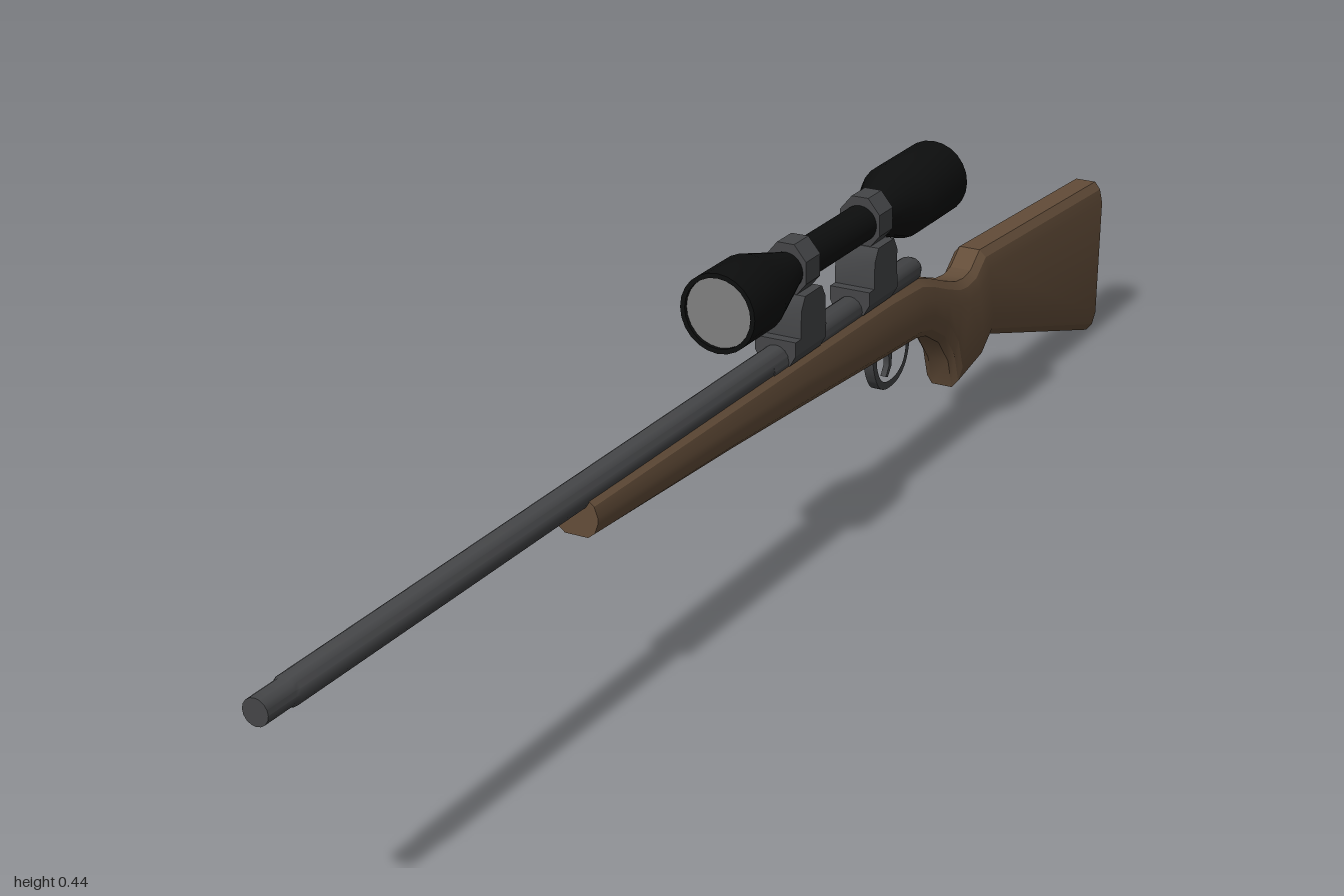
import * as THREE from 'three';
import { toCreasedNormals } from 'three/addons/utils/BufferGeometryUtils.js';

const material = (name, color) => {
  const m = new THREE.MeshStandardMaterial({ color });
  m.name = name;
  return m;
};

// Solid of revolution along z at height y; profile is [radius, z] from back to front
function turned(profile, y, sides = 20) {
  const pts = profile.map(([r, z]) => new THREE.Vector2(r, z));
  return toCreasedNormals(new THREE.LatheGeometry(pts, sides).rotateX(Math.PI / 2).translate(0, y, 0), 0.6);
}

// Side profile of [z, y] points extruded across x, with an optional hole
function plate(points, width, hole) {
  const toV = (list) => list.map(([z, y]) => new THREE.Vector2(z, y));
  const shape = new THREE.Shape(toV(points));
  if (hole) shape.holes.push(new THREE.Path(toV(hole)));
  const g = new THREE.ExtrudeGeometry(shape, { depth: width, bevelEnabled: false });
  return toCreasedNormals(g.translate(0, 0, -width / 2).rotateY(-Math.PI / 2), 0.6);
}

// Smooth closed loop through [z, y] points
const loop = (points, n = 32) =>
  new THREE.CatmullRomCurve3(points.map(([z, y]) => new THREE.Vector3(z, y, 0)), true)
    .getPoints(n).slice(0, n).map((p) => [p.x, p.y]);

// Stock lofted through rounded sections, each spanning a top and a bottom point
function stockGeometry() {
  // topZ, topY, bottomZ, bottomY
  const stations = [
    [0.425, 0.281, 0.425, 0.235], [0.1, 0.281, 0.1, 0.22], [-0.07, 0.281, -0.07, 0.21],
    [-0.31, 0.279, -0.31, 0.195], [-0.4, 0.274, -0.4, 0.19], [-0.435, 0.263, -0.43, 0.183],
    [-0.48, 0.245, -0.47, 0.16], [-0.52, 0.231, -0.502, 0.122], [-0.545, 0.228, -0.516, 0.079],
    [-0.567, 0.232, -0.595, 0.094], [-0.595, 0.253, -0.628, 0.119], [-1, 0.233, -0.99, 0.003],
  ];
  const pos = [], index = [], n = 12;
  for (const [tz, ty, bz, by] of stations) {
    const len = Math.hypot(tz - bz, ty - by);
    const c = Math.min(0.03, len * 0.42) / len;
    const side = [[0.015, 0], [0.0235, 0.35 * c], [0.028, c], [0.028, 1 - c], [0.0235, 1 - 0.35 * c], [0.015, 1]];
    const ring = [...side, ...side.map(([x, t]) => [-x, t]).reverse()];
    for (const [x, t] of ring) pos.push(x, by + (ty - by) * t, bz + (tz - bz) * t);
  }
  const last = (stations.length - 1) * n;
  for (let s = 0; s < last; s += n) {
    for (let j = 0; j < n; j++) {
      const a = s + j, b = s + (j + 1) % n;
      index.push(a, a + n, b, b, a + n, b + n);
    }
  }
  for (let j = 1; j < n - 1; j++) index.push(0, j, j + 1, last, last + j + 1, last + j);
  const g = new THREE.BufferGeometry();
  g.setAttribute('position', new THREE.Float32BufferAttribute(pos, 3));
  g.setIndex(index);
  return toCreasedNormals(g, 0.4);
}

export function createModel() {
  const wood = material('walnut wood', 0x634d39);
  const steel = material('dark steel', 0x444547);
  const black = material('black', 0x0d0e0e);
  const glass = material('grey glass', 0x808080);

  const model = new THREE.Group();
  model.name = 'scopedRifle';
  const add = (name, geometry, mat, parent = model) => {
    const mesh = new THREE.Mesh(geometry, mat);
    mesh.name = name;
    parent.add(mesh);
    return mesh;
  };

  add('stock', stockGeometry(), wood);

  // Barrel with a narrower muzzle, and the receiver behind it
  add('barrel', turned([[0, -0.05], [0.0185, -0.05], [0.0175, 0.95], [0.0155, 0.955], [0.0155, 1], [0, 1]], 0.284, 16), steel);
  add('receiver', turned([[0, -0.415], [0.014, -0.415], [0.018, -0.405], [0.019, 0], [0, 0]], 0.282, 16), steel);

  // Trigger guard and trigger
  const guard = [[-0.292, 0.2], [-0.298, 0.165], [-0.318, 0.144], [-0.362, 0.143], [-0.388, 0.162], [-0.394, 0.2]];
  const inner = guard.map(([z, y]) => [-0.343 + (z + 0.343) * 0.8, 0.174 + (y - 0.174) * 0.7]);
  add('triggerGuard', plate(loop(guard), 0.014, loop(inner)), steel);
  add('trigger', plate([[-0.335, 0.2], [-0.342, 0.18], [-0.342, 0.168], [-0.334, 0.156],
    [-0.34, 0.154], [-0.35, 0.167], [-0.351, 0.182], [-0.347, 0.2]], 0.008), steel);

  // Scope: two bells joined by a thin tube, with hollow ends
  const scope = new THREE.Group();
  scope.name = 'scope';
  model.add(scope);
  add('scopeBody', turned([[0, -0.465], [0.044, -0.465], [0.044, -0.472], [0.05, -0.472], [0.05, -0.36],
    [0.024, -0.29], [0.024, -0.06], [0.05, 0.03], [0.05, 0.107], [0.044, 0.107], [0.044, 0.1], [0, 0.1]], 0.39, 24), black, scope);
  add('frontLens', new THREE.CircleGeometry(0.044, 24).translate(0, 0.39, 0.102), glass, scope);
  add('rearLens', new THREE.CircleGeometry(0.044, 24).rotateY(Math.PI).translate(0, 0.39, -0.467), glass, scope);

  // Scope mounts: foot on the receiver, post and clamping ring
  for (const [name, z] of [['frontMount', -0.08], ['rearMount', -0.278]]) {
    const mount = new THREE.Group();
    mount.name = name;
    mount.position.z = z;
    model.add(mount);
    const foot = new THREE.Shape([[-0.02, 0.278], [0.02, 0.278], [0.028, 0.292], [0.028, 0.31], [-0.028, 0.31], [-0.028, 0.292]]
      .map(([x, y]) => new THREE.Vector2(x, y)));
    add('mountFoot', new THREE.ExtrudeGeometry(foot, { depth: 0.08, bevelEnabled: false }).translate(0, 0, -0.036), steel, mount);
    add('mountPost', plate([[-0.034, 0.305], [0.03, 0.305], [0.03, 0.345], [0.02, 0.362], [-0.024, 0.362], [-0.034, 0.345]], 0.056), steel, mount);
    const ring = new THREE.CylinderGeometry(0.037, 0.037, 0.037, 8).rotateY(Math.PI / 8).rotateX(Math.PI / 2);
    add('mountRing', ring.scale(0.82, 1, 1).translate(0, 0.391, 0).toNonIndexed(), steel, mount).geometry.computeVertexNormals();
  }
  return model;
}
